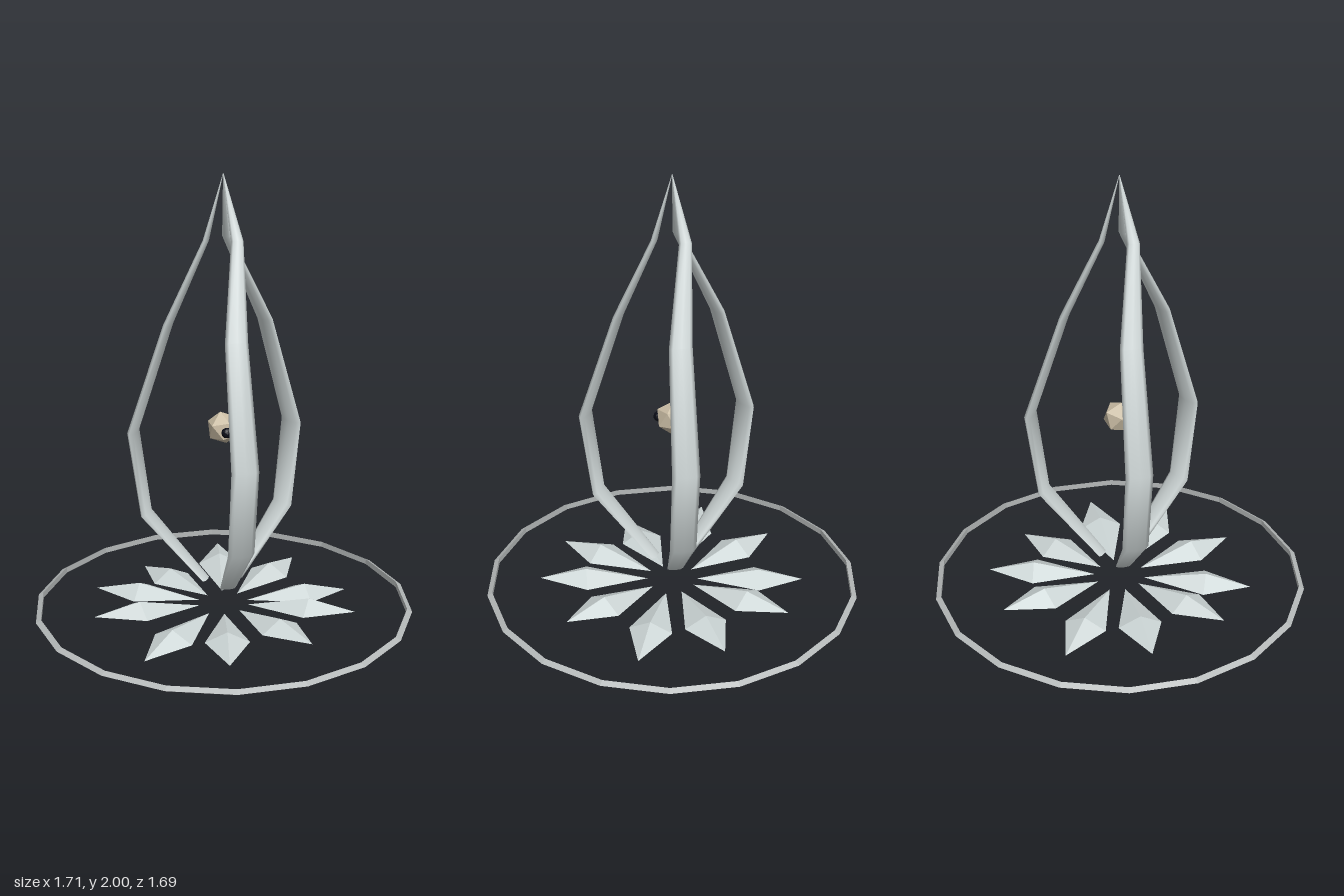
import * as THREE from 'three';

const material = (name, color, extra = {}) => {
  const m = new THREE.MeshStandardMaterial({ color, ...extra });
  m.name = name;
  return m;
};

// Curved blade: elliptical sections [x, y, z, halfWidth, halfThickness] from base to tip
function bladeGeometry() {
  const sections = [
    [0.0, 0.145, 0.085, 0.036, 0.014],
    [-0.012, 0.43, 0.367, 0.058, 0.018],
    [-0.01, 0.82, 0.422, 0.06, 0.02],
    [-0.005, 1.33, 0.25, 0.05, 0.017],
    [0.045, 1.72, 0.063, 0.027, 0.012],
    [0, 2.0, 0, 0.001, 0.001],
  ];
  const sides = 8, positions = [], index = [];
  sections.forEach(([x, y, z, w, t], s) => {
    const a = sections[Math.max(s - 1, 0)];
    const b = sections[Math.min(s + 1, sections.length - 1)];
    const dy = b[1] - a[1], dz = b[2] - a[2], len = Math.hypot(dy, dz);
    // level cuts at both ends, square cuts in between
    const level = s === 0 || s === sections.length - 1;
    const ny = level ? 0 : -dz / len, nz = level ? 1 : dy / len;
    for (let i = 0; i < sides; i++) {
      const ang = (i / sides) * Math.PI * 2;
      const n = t * Math.sin(ang);
      positions.push(x + w * Math.cos(ang), y + ny * n, z + nz * n);
    }
  });
  for (let s = 0; s < sections.length - 1; s++) {
    for (let i = 0; i < sides; i++) {
      const a = s * sides + i, b = s * sides + ((i + 1) % sides);
      index.push(a, a + sides, b, b, a + sides, b + sides);
    }
  }
  // base cap with its own vertices
  const cap = positions.length / 3;
  positions.push(...positions.slice(0, sides * 3));
  for (let i = 1; i < sides - 1; i++) index.push(cap, cap + i, cap + i + 1);
  const g = new THREE.BufferGeometry();
  g.setAttribute('position', new THREE.Float32BufferAttribute(positions, 3));
  g.setIndex(index);
  g.computeVertexNormals();
  return g;
}

// Faceted petal lying along +x
function petalGeometry() {
  const positions = [
    0.115, 0, 0, 0.395, 0, 0.098, 0.61, 0, 0, 0.395, 0, -0.098, // outline
    0.4, 0.05, 0, 0.4, -0.012, 0, // top and bottom peaks
  ];
  const index = [];
  for (let i = 0; i < 4; i++) {
    const j = (i + 1) % 4;
    index.push(4, i, j, 5, j, i);
  }
  const g = new THREE.BufferGeometry();
  g.setAttribute('position', new THREE.Float32BufferAttribute(positions, 3));
  g.setIndex(index);
  g.computeVertexNormals();
  return g;
}

export function createModel() {
  const model = new THREE.Group();
  model.name = 'bladeFlower';

  const bladeMat = material('paleSteel', 0xccd4d4);
  const petalMat = material('palePetal', 0xccd5d5, { flatShading: true });
  const ringMat = material('greyRing', 0xb4b8b8, { flatShading: true });
  const coreMat = material('tanCore', 0xcabda4, { flatShading: true });
  const darkMat = material('darkBead', 0x0a0c16, { flatShading: true });

  const add = (name, geometry, mat, parent = model) => {
    const mesh = new THREE.Mesh(geometry, mat);
    mesh.name = name;
    parent.add(mesh);
    return mesh;
  };

  // Three blades meeting at the top
  const blades = new THREE.Group();
  blades.name = 'blades';
  model.add(blades);
  const blade = bladeGeometry();
  for (let i = 0; i < 3; i++) {
    add('blade', blade, bladeMat, blades).rotation.y = (i * Math.PI * 2) / 3;
  }

  // Ten petals, with tilt cycling up, level, down
  const petals = new THREE.Group();
  petals.name = 'petals';
  model.add(petals);
  const petal = petalGeometry();
  for (let i = 0; i < 10; i++) {
    const mesh = add('petal', petal, petalMat, petals);
    mesh.position.y = 0.035;
    mesh.rotation.y = -THREE.MathUtils.degToRad(65.3 + 36 * i);
    mesh.rotation.z = 0.052 * (1 - (i % 3));
  }

  // Thin triangular-section ground ring
  const ring = add('groundRing', new THREE.TorusGeometry(0.84, 0.0155, 3, 18), ringMat);
  ring.rotation.x = -Math.PI / 2;
  ring.position.y = 0.033;

  // Floating core with a dark bead on its front
  const core = add('core', new THREE.IcosahedronGeometry(0.075, 0), coreMat);
  core.position.y = 0.88;
  core.rotation.z = -0.365;
  const bead = add('bead', new THREE.IcosahedronGeometry(0.024, 1), darkMat);
  bead.position.set(0, 0.875, 0.063);

  return model;
}
